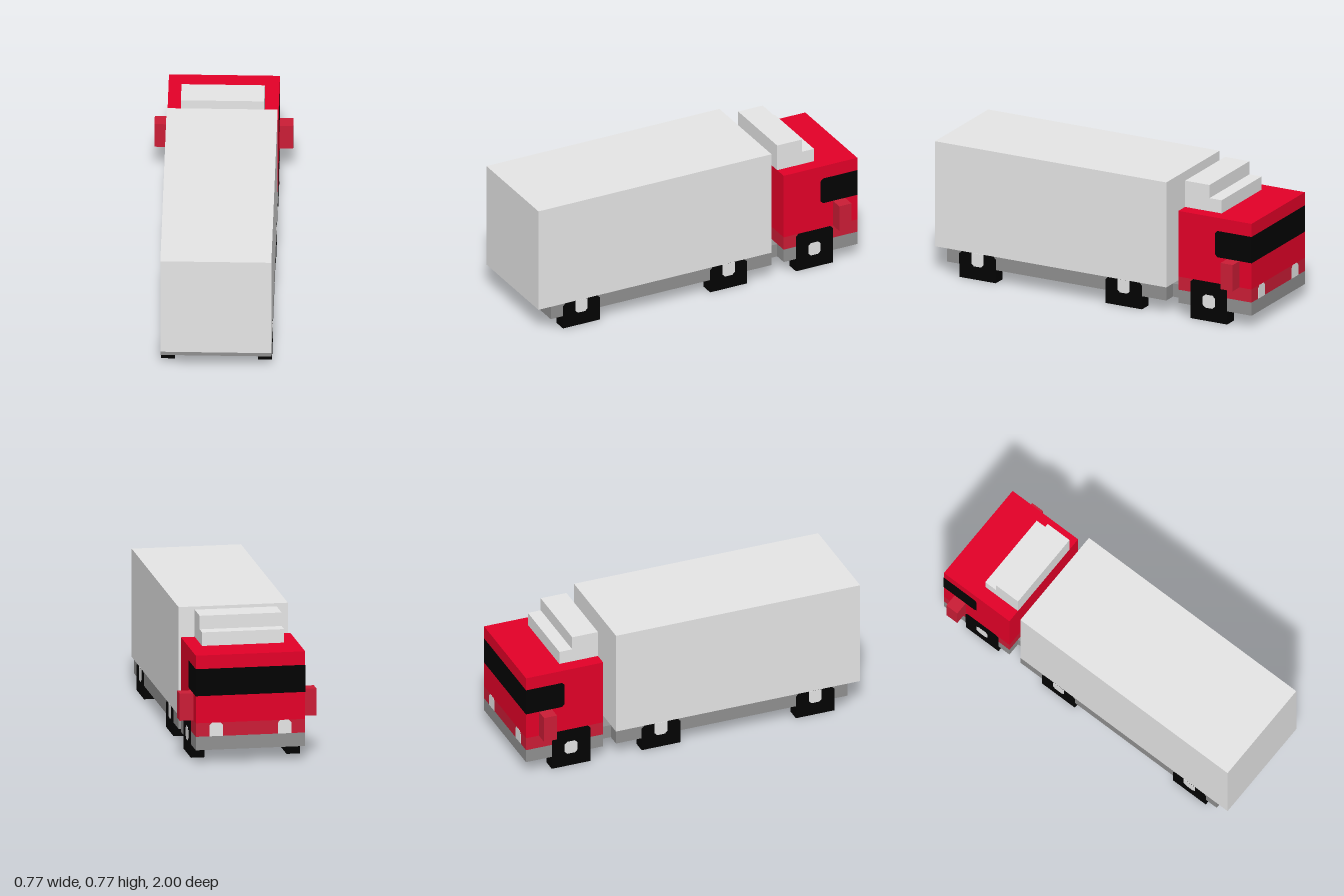
import * as THREE from 'three';

const U = 1 / 13; // one block
const E = 0.012; // how far painted panels stand proud, in blocks
const CUT = 0.2; // size of a trimmed panel corner, in blocks

const mat = (name, color) => {
  const m = new THREE.MeshStandardMaterial({ color });
  m.name = name;
  return m;
};

// Thin rectangular plate; cuts trims corners: low-bottom, high-bottom, high-top, low-top
function plate([a0, a1], [y0, y1], cuts, proud) {
  const corners = [[a0, y0, 1, 1], [a1, y0, -1, 1], [a1, y1, -1, -1], [a0, y1, 1, -1]];
  const points = corners.flatMap(([a, y, da, dy], i) => {
    if (!cuts[i]) return [new THREE.Vector2(a * U, y * U)];
    const alongA = new THREE.Vector2((a + da * CUT) * U, y * U);
    const alongY = new THREE.Vector2(a * U, (y + dy * CUT) * U);
    return i % 2 ? [alongA, alongY] : [alongY, alongA];
  });
  const depth = 2 * proud * U;
  const geo = new THREE.ExtrudeGeometry(new THREE.Shape(points), { depth, bevelEnabled: false });
  return geo.translate(0, 0, -depth / 2);
}

export function createModel() {
  const truck = new THREE.Group();
  truck.name = 'truck';

  const red = mat('cabRed', 0xe40028);
  const darkRed = mat('trimRed', 0xcb1d36);
  const light = mat('lightGrey', 0xe6e6e6);
  const grey = mat('chassisGrey', 0x909090);
  const black = mat('black', 0x020202);

  const add = (name, geo, material) => {
    const mesh = new THREE.Mesh(geo, material);
    mesh.name = name;
    truck.add(mesh);
    return mesh;
  };
  // Box from min to max corner, in blocks
  const block = (name, material, [x0, x1], [y0, y1], [z0, z1]) => {
    const geo = new THREE.BoxGeometry((x1 - x0) * U, (y1 - y0) * U, (z1 - z0) * U);
    add(name, geo, material).position.set((x0 + x1) / 2 * U, (y0 + y1) / 2 * U, (z0 + z1) / 2 * U);
  };
  // The same box on both sides
  const pair = (name, material, [x0, x1], y, z) => {
    block(name + 'Left', material, [x0, x1], y, z);
    block(name + 'Right', material, [-x1, -x0], y, z);
  };
  // Painted panels on both side walls
  const sidePanels = (name, material, z, y, cuts, proud = E) => {
    for (const [side, s] of [['Left', 1], ['Right', -1]]) {
      const geo = plate(z, y, cuts, proud).rotateY(-Math.PI / 2);
      add(name + side, geo, material).position.x = s * 4 * U;
    }
  };
  // Painted panel on the cab front
  const frontPanel = (name, material, x, y, cuts, proud = E) => {
    add(name, plate(x, y, cuts, proud), material).position.z = -13 * U;
  };

  // Chassis, narrower at the coupling behind the cab
  block('cabChassis', grey, [-4, 4], [1, 2], [-13, -7]);
  block('coupling', grey, [-3, 3], [1, 2], [-7, -6]);
  block('trailerChassis', grey, [-4, 4], [1, 2], [-6, 12]);

  // Cargo box
  block('cargoBox', light, [-4, 4], [2, 10], [-6, 13]);

  // Cab with darker lower band and mirrors
  block('cabLowerBand', darkRed, [-4, 4], [2, 3], [-13, -7]);
  block('cab', red, [-4, 4], [3, 8], [-13, -7]);
  pair('mirror', darkRed, [4, 5], [3, 5], [-12, -11]);

  // Wrap-around window and headlights
  frontPanel('windscreen', black, [-4 - E, 4 + E], [5, 7], [0, 0, 0, 0]);
  sidePanels('sideWindow', black, [-13, -10], [5, 7], [0, 1, 1, 0]);
  frontPanel('headlightLeft', light, [2, 3], [2, 3], [0, 0, 1, 1]);
  frontPanel('headlightRight', light, [-3, -2], [2, 3], [0, 0, 1, 1]);

  // Stepped wind deflector on the roof
  block('deflectorLower', light, [-3, 3], [8, 9], [-10, -7]);
  block('deflectorUpper', light, [-3, 3], [9, 10], [-9, -7]);

  // Wheels: tyre below the chassis, painted upper part and hub (start z, height)
  for (const [name, z, h] of [['front', -11, 3], ['middle', -4, 2], ['rear', 8, 2]]) {
    const openTop = h > 2 ? 1 : 0; // only the tall wheel closes over its hub
    pair(name + 'Tyre', black, [3, 4], [0, 1], [z, z + 3]);
    sidePanels(name + 'Wheel', black, [z, z + 3], [1, h], [0, 0, 1, 1]);
    sidePanels(name + 'Hub', light, [z + 1, z + 2], [1, 2], [1, 1, openTop, openTop], 2 * E);
  }

  return truck;
}
